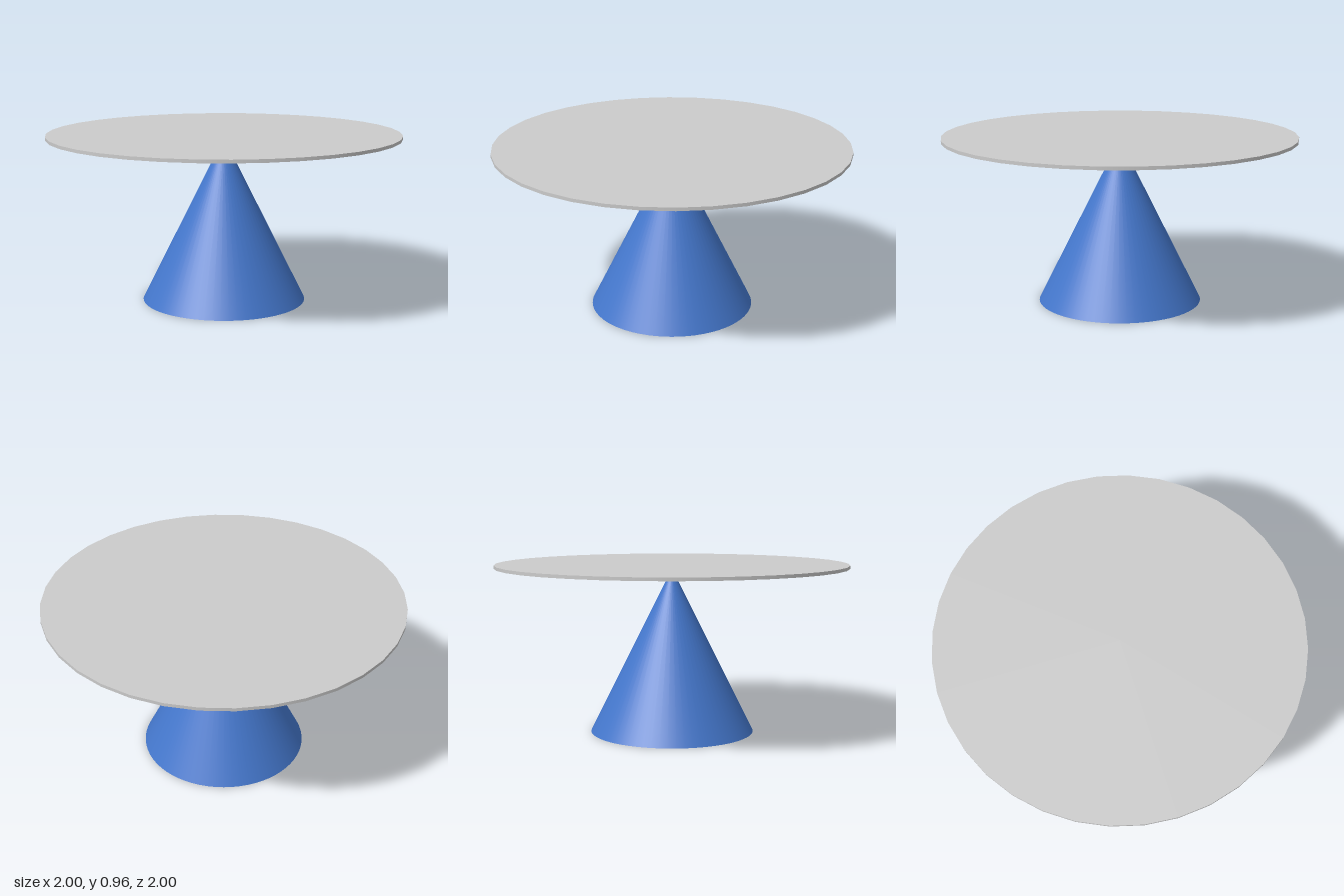
import * as THREE from 'three';

export function createModel() {
  const group = new THREE.Group();
  const grey = new THREE.MeshStandardMaterial({ color: 0xcccccc });
  const blue = new THREE.MeshStandardMaterial({ color: 0x4477cc });

  const add = (name, geometry, material, y) => {
    const mesh = new THREE.Mesh(geometry, material);
    mesh.name = name;
    mesh.position.y = y;
    group.add(mesh);
  };

  // Conical pedestal, its tip just below the top
  const coneHeight = 0.935;
  add('pedestal', new THREE.ConeGeometry(0.467, coneHeight, 64), blue, coneHeight / 2);

  // Thin round table top
  add('tableTop', new THREE.CylinderGeometry(1, 1, 0.018, 36), grey, 0.954);

  return group;
}
